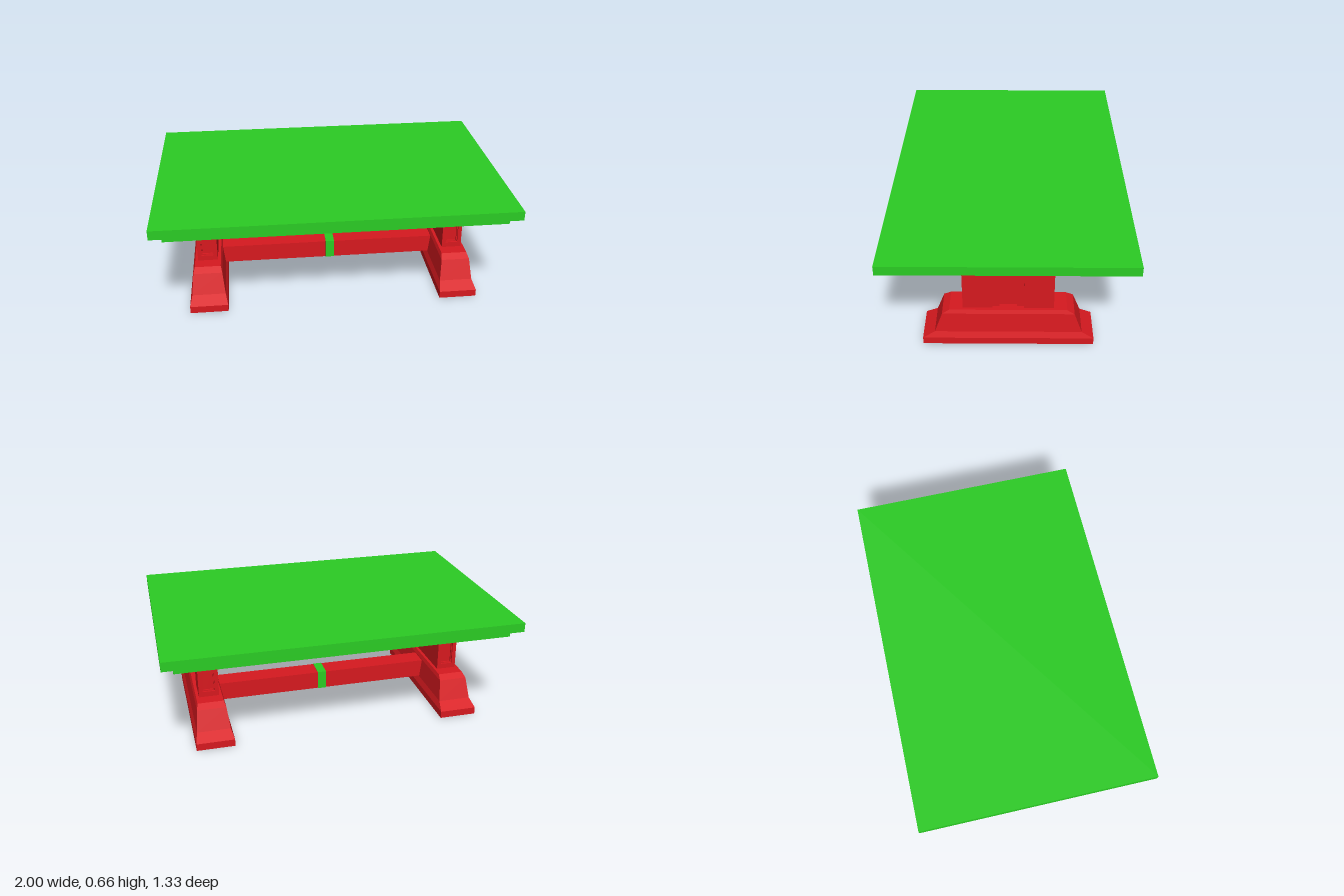
import * as THREE from 'three';

const red = new THREE.MeshStandardMaterial({ color: 0xd7191f, flatShading: true });
const green = new THREE.MeshStandardMaterial({ color: 0x2bcc24, flatShading: true });

function add(parent, name, geometry, material, x = 0, y = 0, z = 0) {
  const mesh = new THREE.Mesh(geometry, material);
  mesh.name = name;
  mesh.position.set(x, y, z);
  parent.add(mesh);
  return mesh;
}

// Box given by its lowest and highest corners
function block(parent, name, material, [x0, y0, z0], [x1, y1, z1]) {
  const geometry = new THREE.BoxGeometry(x1 - x0, y1 - y0, z1 - z0);
  return add(parent, name, geometry, material, (x0 + x1) / 2, (y0 + y1) / 2, (z0 + z1) / 2);
}

// Stack of rectangles [y, half width, half depth] joined into a closed solid
function loft(levels) {
  const rings = levels.map(([y, hx, hz]) => [[hx, y, hz], [hx, y, -hz], [-hx, y, -hz], [-hx, y, hz]]);
  const points = [];
  const quad = (a, b, c, d) => points.push(...a, ...b, ...c, ...a, ...c, ...d);
  for (let i = 0; i < rings.length - 1; i++) {
    for (let j = 0; j < 4; j++) {
      const k = (j + 1) % 4;
      quad(rings[i][j], rings[i][k], rings[i + 1][k], rings[i + 1][j]);
    }
  }
  quad(...rings[rings.length - 1]);
  quad(...[...rings[0]].reverse());
  const geometry = new THREE.BufferGeometry();
  geometry.setAttribute('position', new THREE.Float32BufferAttribute(points, 3));
  geometry.computeVertexNormals();
  return geometry;
}

const Y0 = 0.217, Y1 = 0.447;   // post bottom and top
const HX = 0.058, HZ = 0.248;   // post half width and half depth
const STEP = 0.015, END = 0.01; // recess depths on the outer face and the ends
const coreZ = HZ - 2 * END;

// Plate with an opening that runs down to its bottom edge
function notchedPlate(cutOpening) {
  const s = new THREE.Shape();
  s.moveTo(-coreZ, Y0);
  cutOpening(s);
  s.lineTo(coreZ, Y0);
  s.lineTo(coreZ, Y1 + 0.006);
  s.lineTo(-coreZ, Y1 + 0.006);
  s.closePath();
  const geometry = new THREE.ExtrudeGeometry(s, { depth: STEP, bevelEnabled: false, curveSegments: 6 });
  return geometry.rotateY(Math.PI / 2);
}

// Plate with a rectangular window
function windowPlate(half, bottom, top) {
  const s = new THREE.Shape();
  s.moveTo(-HX, Y0).lineTo(HX, Y0).lineTo(HX, Y1).lineTo(-HX, Y1).closePath();
  const hole = new THREE.Path();
  hole.moveTo(-half, bottom).lineTo(-half, top).lineTo(half, top).lineTo(half, bottom).closePath();
  s.holes.push(hole);
  return new THREE.ExtrudeGeometry(s, { depth: END, bevelEnabled: false });
}

const gable = s => s.lineTo(-0.085, Y0).lineTo(-0.085, 0.387).lineTo(0, 0.446).lineTo(0.085, 0.387).lineTo(0.085, Y0);
const lancet = s => s.lineTo(-0.048, Y0).lineTo(-0.048, 0.28)
  .quadraticCurveTo(-0.043, 0.375, 0, 0.422)
  .quadraticCurveTo(0.043, 0.375, 0.048, 0.28).lineTo(0.048, Y0);

function createLeg() {
  const leg = new THREE.Group();

  // Stepped and tapered foot
  add(leg, 'foot', loft([
    [0, 0.109, 0.469], [0.042, 0.109, 0.469], [0.078, 0.096, 0.403],
    [0.195, 0.083, 0.36], [Y0, 0.075, 0.32],
  ]), red);

  // Post core with the arched recess on its outer face
  block(leg, 'postCore', red, [-HX, Y0, -coreZ], [HX - 2 * STEP, Y1, coreZ]);
  add(leg, 'lancetPlate', notchedPlate(lancet), red, HX - 2 * STEP);
  add(leg, 'gablePlate', notchedPlate(gable), red, HX - STEP);

  // Stepped panel recess at both ends
  for (const turn of [0, Math.PI]) {
    const end = new THREE.Group();
    end.name = 'postEnd';
    end.rotation.y = turn;
    add(end, 'innerPanelFrame', windowPlate(0.03, 0.254, 0.412), red, 0, 0, coreZ);
    add(end, 'outerPanelFrame', windowPlate(0.035, 0.248, 0.418), red, 0, 0, coreZ + END);
    leg.add(end);
  }

  // Flared head under the top
  add(leg, 'postHead', loft([[Y1, HX, HZ], [0.57, 0.067, 0.293]]), red);
  return leg;
}

export function createModel() {
  const table = new THREE.Group();
  table.name = 'table';

  // Top
  block(table, 'tabletop', green, [-1, 0.61, -0.663], [1, 0.663, 0.663]);
  block(table, 'apron', green, [-0.937, 0.57, -0.621], [0.937, 0.61, 0.621]);

  // Legs, with the arches facing outwards
  for (const side of [1, -1]) {
    const leg = createLeg();
    leg.name = side > 0 ? 'leftLeg' : 'rightLeg';
    leg.position.x = side * 0.732;
    leg.rotation.y = side > 0 ? 0 : Math.PI;
    table.add(leg);
  }

  // Stretcher with its coloured band
  block(table, 'stretcher', red, [-0.68, 0.082, -0.06], [0.68, 0.19, 0.06]);
  block(table, 'stretcherBand', green, [-0.014, 0.08, -0.062], [0.038, 0.192, 0.062]);
  return table;
}
